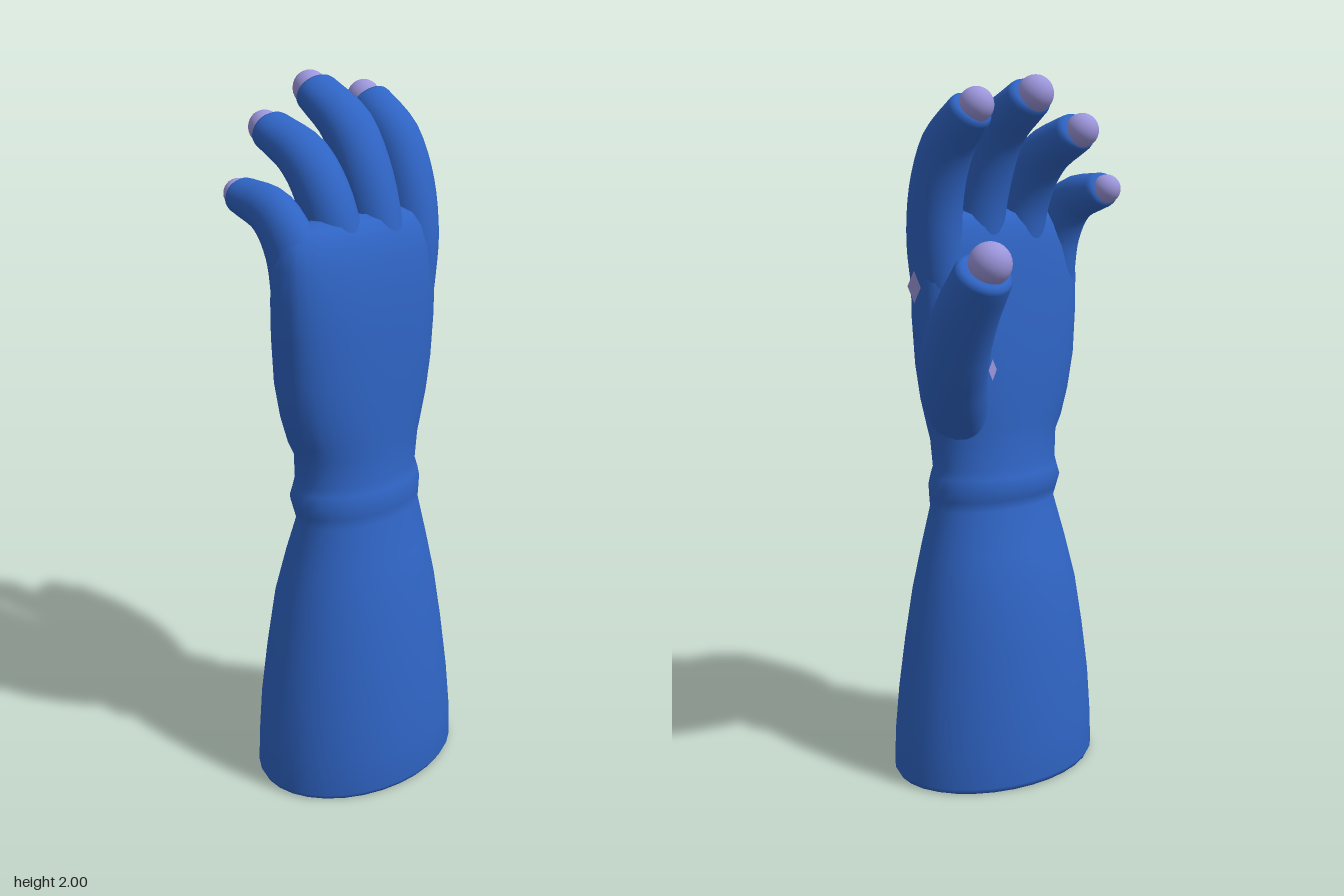
import * as THREE from 'three';

const SEG = 32;
const blue = new THREE.MeshStandardMaterial({ color: 0x2f64c4 });
blue.name = 'glove blue';
const lavender = new THREE.MeshStandardMaterial({ color: 0x9c96dc, side: THREE.DoubleSide });
lavender.name = 'skin lavender';

// Skin a list of rings (arrays of SEG points) into one smooth surface, capping the last ring.
function loft(rings) {
  const pos = [], idx = [];
  rings.forEach(r => r.forEach(p => pos.push(p.x, p.y, p.z)));
  for (let j = 0; j < rings.length - 1; j++) {
    for (let i = 0; i < SEG; i++) {
      const a = j * SEG + i, b = j * SEG + (i + 1) % SEG;
      idx.push(a, a + SEG, b, b, a + SEG, b + SEG);
    }
  }
  const last = (rings.length - 1) * SEG, mid = new THREE.Vector3();
  rings[rings.length - 1].forEach(p => mid.addScaledVector(p, 1 / SEG));
  pos.push(mid.x, mid.y, mid.z);
  for (let i = 0; i < SEG; i++) idx.push(last + i, last + SEG, last + (i + 1) % SEG);
  const g = new THREE.BufferGeometry();
  g.setAttribute('position', new THREE.Float32BufferAttribute(pos, 3));
  g.setIndex(idx);
  g.computeVertexNormals();
  return g;
}

// Horizontal rounded section between x0..x1 and z0..z1; e < 1 makes it boxier.
function section([y, x0, x1, z0, z1, e = 1], inset = 0) {
  return Array.from({ length: SEG }, (_, i) => {
    const a = i / SEG * Math.PI * 2, c = Math.cos(a), s = Math.sin(a);
    return new THREE.Vector3(
      (x0 + x1) / 2 + ((x1 - x0) / 2 - inset) * Math.sign(c) * Math.abs(c) ** e, y,
      (z0 + z1) / 2 + ((z1 - z0) / 2 - inset) * Math.sign(s) * Math.abs(s) ** e);
  });
}

// Bent finger: path points are [x, y, z, side radius, depth radius].
function fingerGeometry(path) {
  const curve = new THREE.CatmullRomCurve3(path.map(p => new THREE.Vector3(p[0], p[1], p[2])));
  const steps = 16, rings = [];
  const addRing = (t, shrink, push) => {
    const c = curve.getPoint(t), tan = curve.getTangent(t);
    const side = new THREE.Vector3(1, 0, 0).addScaledVector(tan, -tan.x).normalize();
    const depth = side.clone().cross(tan);
    const f = t * (path.length - 1), k = Math.min(Math.floor(f), path.length - 2);
    const rx = THREE.MathUtils.lerp(path[k][3], path[k + 1][3], f - k) * shrink;
    const rz = THREE.MathUtils.lerp(path[k][4], path[k + 1][4], f - k) * shrink;
    c.addScaledVector(tan, push);
    rings.push(Array.from({ length: SEG }, (_, i) => {
      const a = i / SEG * Math.PI * 2;
      return c.clone().addScaledVector(side, Math.cos(a) * rx).addScaledVector(depth, Math.sin(a) * rz);
    }));
  };
  for (let i = 0; i <= steps; i++) addRing(i / steps, 1, 0);
  // rounded lip around the bare fingertip
  addRing(1, 0.95, 0.01);
  addRing(1, 0.82, 0.018);
  addRing(1, 0.5, 0.02);
  return loft(rings);
}

export function createModel() {
  const model = new THREE.Group();
  const add = (name, geometry, material) => {
    const m = new THREE.Mesh(geometry, material);
    m.name = name;
    model.add(m);
    return m;
  };

  // Cuff, wrist band and palm: y, x0, x1, z0, z1, boxiness
  const outer = [
    [0.0, -0.347, 0.297, -0.183, 0.303],
    [0.015, -0.355, 0.305, -0.19, 0.312],
    [0.12, -0.35, 0.3, -0.188, 0.31],
    [0.25, -0.34, 0.288, -0.18, 0.3],
    [0.4, -0.318, 0.268, -0.165, 0.282],
    [0.55, -0.292, 0.244, -0.145, 0.26],
    [0.68, -0.262, 0.215, -0.11, 0.232],
    [0.8, -0.235, 0.188, -0.068, 0.2],
    [0.83, -0.242, 0.192, -0.076, 0.202],
    [0.865, -0.25, 0.196, -0.085, 0.204],
    [0.895, -0.242, 0.19, -0.076, 0.196],
    [0.92, -0.236, 0.184, -0.068, 0.186],
    [1.0, -0.242, 0.19, -0.06, 0.184, 0.95],
    [1.04, -0.262, 0.2, -0.06, 0.184, 0.9],
    [1.12, -0.288, 0.22, -0.06, 0.185, 0.85],
    [1.22, -0.308, 0.235, -0.058, 0.185, 0.8],
    [1.35, -0.318, 0.242, -0.05, 0.183, 0.75],
    [1.45, -0.324, 0.245, -0.04, 0.177, 0.75],
    [1.54, -0.322, 0.248, -0.03, 0.166, 0.75],
    [1.6, -0.31, 0.245, -0.018, 0.148, 0.8],
    [1.635, -0.28, 0.22, 0.0, 0.125, 0.85],
    [1.65, -0.2, 0.15, 0.03, 0.095],
  ];
  // the lining starts at the wrist, runs down inside and turns over the hem
  const lining = outer.slice(0, 9).reverse().map(s => section(s, 0.018));
  add('gloveBody', loft([...lining, ...outer.map(s => section(s))]), blue);

  // Fingers with their bare tips: path, tip centre and tip radius
  const fingers = {
    index: [[[0.17, 1.42, 0.07, 0.068, 0.085], [0.188, 1.56, 0.066, 0.073, 0.084],
      [0.2, 1.7, 0.04, 0.075, 0.077], [0.205, 1.82, -0.015, 0.073, 0.072],
      [0.205, 1.905, -0.105, 0.063, 0.06]], [0.205, 1.922, -0.132], 0.047],
    middle: [[[0.045, 1.42, 0.07, 0.07, 0.085], [0.042, 1.57, 0.065, 0.075, 0.085],
      [0.04, 1.73, 0.03, 0.077, 0.078], [0.043, 1.86, -0.04, 0.077, 0.07],
      [0.047, 1.942, -0.16, 0.068, 0.057]], [0.047, 1.953, -0.187], 0.049],
    ring: [[[-0.105, 1.4, 0.07, 0.07, 0.085], [-0.11, 1.54, 0.063, 0.074, 0.085],
      [-0.114, 1.68, 0.032, 0.074, 0.078], [-0.114, 1.79, -0.045, 0.073, 0.07],
      [-0.11, 1.853, -0.175, 0.065, 0.055]], [-0.11, 1.86, -0.204], 0.046],
    little: [[[-0.24, 1.35, 0.07, 0.066, 0.082], [-0.246, 1.47, 0.064, 0.07, 0.083],
      [-0.25, 1.58, 0.04, 0.066, 0.078], [-0.252, 1.665, -0.025, 0.062, 0.068],
      [-0.246, 1.698, -0.145, 0.058, 0.05]], [-0.245, 1.702, -0.168], 0.04],
    thumb: [[[0.1, 1.04, 0.06, 0.08, 0.085], [0.165, 1.14, 0.012, 0.092, 0.1],
      [0.222, 1.26, -0.06, 0.092, 0.1], [0.255, 1.38, -0.145, 0.088, 0.088],
      [0.268, 1.49, -0.23, 0.08, 0.078]], [0.267, 1.522, -0.256], 0.058],
  };
  for (const [name, [path, tip, radius]] of Object.entries(fingers)) {
    add(name + 'Finger', fingerGeometry(path), blue);
    add(name + 'Tip', new THREE.SphereGeometry(radius, 20, 14), lavender).position.set(...tip);
  }

  // Small bare patches beside the index knuckle and in the palm
  const sidePatch = add('sidePatch', new THREE.CircleGeometry(0.045, 4), lavender);
  sidePatch.scale.x = 0.65;
  sidePatch.rotation.y = Math.PI / 2;
  sidePatch.position.set(0.25, 1.44, 0.08);
  const palmPatch = add('palmPatch', new THREE.CircleGeometry(0.03, 4), lavender);
  palmPatch.scale.x = 0.5;
  palmPatch.rotation.y = Math.PI;
  palmPatch.position.set(0.09, 1.21, -0.064);

  return model;
}
